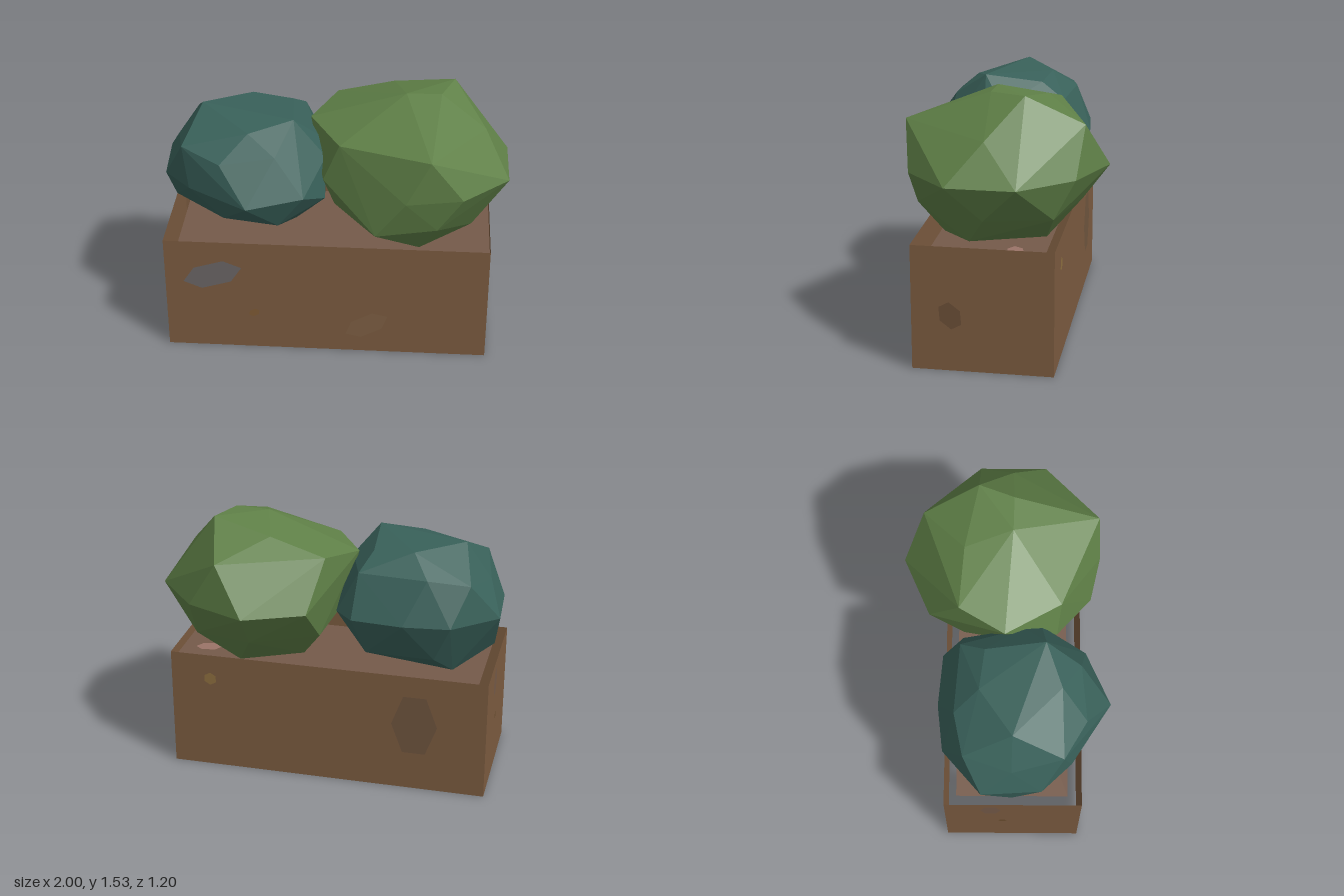
import * as THREE from 'three';
import { ConvexGeometry } from 'three/addons/geometries/ConvexGeometry.js';

const mat = (color, side = THREE.FrontSide) =>
  new THREE.MeshStandardMaterial({ color, side, flatShading: true });

// Planter extents
const X0 = -0.98, X1 = 0.91, Z0 = -0.36, Z1 = 0.44, H = 0.73;
const CX = (X0 + X1) / 2, CZ = (Z0 + Z1) / 2, GAP = 0.006;

export function createModel() {
  const model = new THREE.Group();
  const add = (parent, name, geometry, material) => {
    const mesh = new THREE.Mesh(geometry, material);
    mesh.name = name;
    parent.add(mesh);
    return mesh;
  };

  // Four thin walls, open above and below
  const planter = new THREE.Group();
  planter.name = 'planterBox';
  model.add(planter);
  const wood = mat(0x7c5c40, THREE.DoubleSide);
  const walls = [
    ['frontWall', X1 - X0, CX, Z1, 0],
    ['backWall', X1 - X0, CX, Z0, Math.PI],
    ['leftWall', Z1 - Z0, X1, CZ, Math.PI / 2],
    ['rightWall', Z1 - Z0, X0, CZ, -Math.PI / 2],
  ];
  for (const [name, width, x, z, turn] of walls) {
    const wall = add(planter, name, new THREE.PlaneGeometry(width, H), wood);
    wall.position.set(x, H / 2, z);
    wall.rotation.y = turn;
  }

  // Soil sheet just below the rim
  const soil = add(model, 'soil',
    new THREE.PlaneGeometry(X1 - X0 - 0.07, Z1 - Z0 - 0.15).rotateX(-Math.PI / 2),
    mat(0x755a4a, THREE.DoubleSide));
  soil.position.set(0, 0.665, 0.035);

  // Thin six-sided stains lying just off the surfaces
  const stain = (name, color, w, h, tilt, pos, turn = 0, pitch = 0) => {
    const g = new THREE.CircleGeometry(0.5, 6).scale(w, h, 1).rotateZ(tilt);
    const mesh = add(model, name, g, mat(color));
    mesh.position.set(...pos);
    mesh.rotation.set(pitch, turn, 0);
  };
  stain('frontStainLarge', 0x6b6666, 0.36, 0.17, 0.3, [-0.7, 0.51, Z1 + GAP]);
  stain('frontStainLow', 0x7f6044, 0.28, 0.14, 0.5, [0.205, 0.19, Z1 + GAP]);
  stain('frontKnot', 0x805c36, 0.07, 0.05, 0.5, [-0.46, 0.25, Z1 + GAP]);
  stain('leftStain', 0x6c4f38, 0.13, 0.17, 0.5, [X1 + GAP, 0.33, 0.22], Math.PI / 2);
  stain('backStain', 0x70563f, 0.27, 0.42, 0, [-0.56, 0.42, Z0 - GAP], Math.PI);
  stain('backKnot', 0x8f7040, 0.08, 0.08, 0.5, [0.67, 0.58, Z0 - GAP], Math.PI);
  stain('rightStain', 0x755a48, 0.12, 0.18, 0, [X0 - GAP, 0.62, -0.09], -Math.PI / 2);
  stain('rightKnot', 0x6c4f30, 0.05, 0.05, 0, [X0 - GAP, 0.37, -0.02], -Math.PI / 2);
  stain('soilStain', 0x9a7468, 0.16, 0.1, 0.2, [0.75, 0.67, -0.12], 0, -Math.PI / 2);

  // Faceted bushes: the hull around a few lumps, listed as x, y, z from the crown down
  const bush = (name, color, lumps) =>
    add(model, name, new ConvexGeometry(lumps.map((p) => new THREE.Vector3(...p))), mat(color));

  bush('tealBush', 0x39615a, [
    // crown
    [-0.77, 1.43, 0.035], [-0.5, 1.41, -0.15], [-0.23, 1.43, 0.22], [-0.48, 1.38, 0.31],
    [-0.26, 1.39, -0.12],
    // shoulders
    [-0.86, 1.29, 0.32], [-0.63, 1.25, 0.45], [-0.32, 1.29, 0.42], [-0.09, 1.27, 0.1],
    [-0.2, 1.3, -0.26], [-0.6, 1.3, -0.29], [-0.84, 1.27, -0.24], [-0.92, 1.22, 0.03],
    // girth
    [-1, 1.05, -0.14], [-0.98, 1.05, 0.2], [-0.82, 1.05, 0.37], [-0.47, 1.05, 0.595],
    [-0.16, 1.05, 0.455], [-0.05, 1.19, 0.2], [-0.05, 0.96, 0.28], [-0.07, 1.05, -0.25],
    [-0.18, 1.05, -0.365], [-0.48, 1.05, -0.39], [-0.75, 1.05, -0.36],
    // underside
    [-0.955, 0.81, 0.035], [-0.63, 0.85, 0.36], [-0.31, 0.85, 0.42], [-0.12, 0.78, 0.03],
    [-0.25, 0.82, -0.28], [-0.65, 0.82, -0.29], [-0.74, 0.7, -0.15], [-0.48, 0.65, 0.035],
    [-0.24, 0.67, 0.035],
  ]);

  bush('greenBush', 0x5f8047, [
    // crown
    [0.4, 1.525, 0.035], [0.6, 1.53, 0.04], [0.675, 1.53, -0.16], [0.32, 1.465, -0.24],
    // shoulders
    [-0.01, 1.375, -0.27], [-0.15, 1.335, -0.01], [0.035, 1.32, 0.31], [0.555, 1.35, 0.53],
    [0.86, 1.315, 0.035], [0.58, 1.36, -0.48],
    // girth
    [0.4, 1.09, -0.6], [0.06, 1.09, -0.45], [0.75, 1.09, -0.45], [1, 1.09, -0.16],
    [1, 1.09, 0.23], [0.74, 1.09, 0.48], [0.42, 1.09, 0.545], [-0.06, 1.09, 0.29],
    [-0.05, 0.98, 0],
    // underside
    [0.25, 0.85, 0.5], [0.6, 0.88, 0.46], [0.91, 0.885, 0.035], [0.0, 0.89, 0.22],
    [0.4, 0.885, -0.45], [0.75, 0.86, -0.33], [0.03, 0.88, -0.25],
    [0.5, 0.68, 0.33], [0.8, 0.73, 0.13], [0.51, 0.68, -0.26], [0.15, 0.71, -0.15],
    [0.2, 0.69, 0.2], [0.4, 0.65, 0.035],
  ]);

  return model;
}
